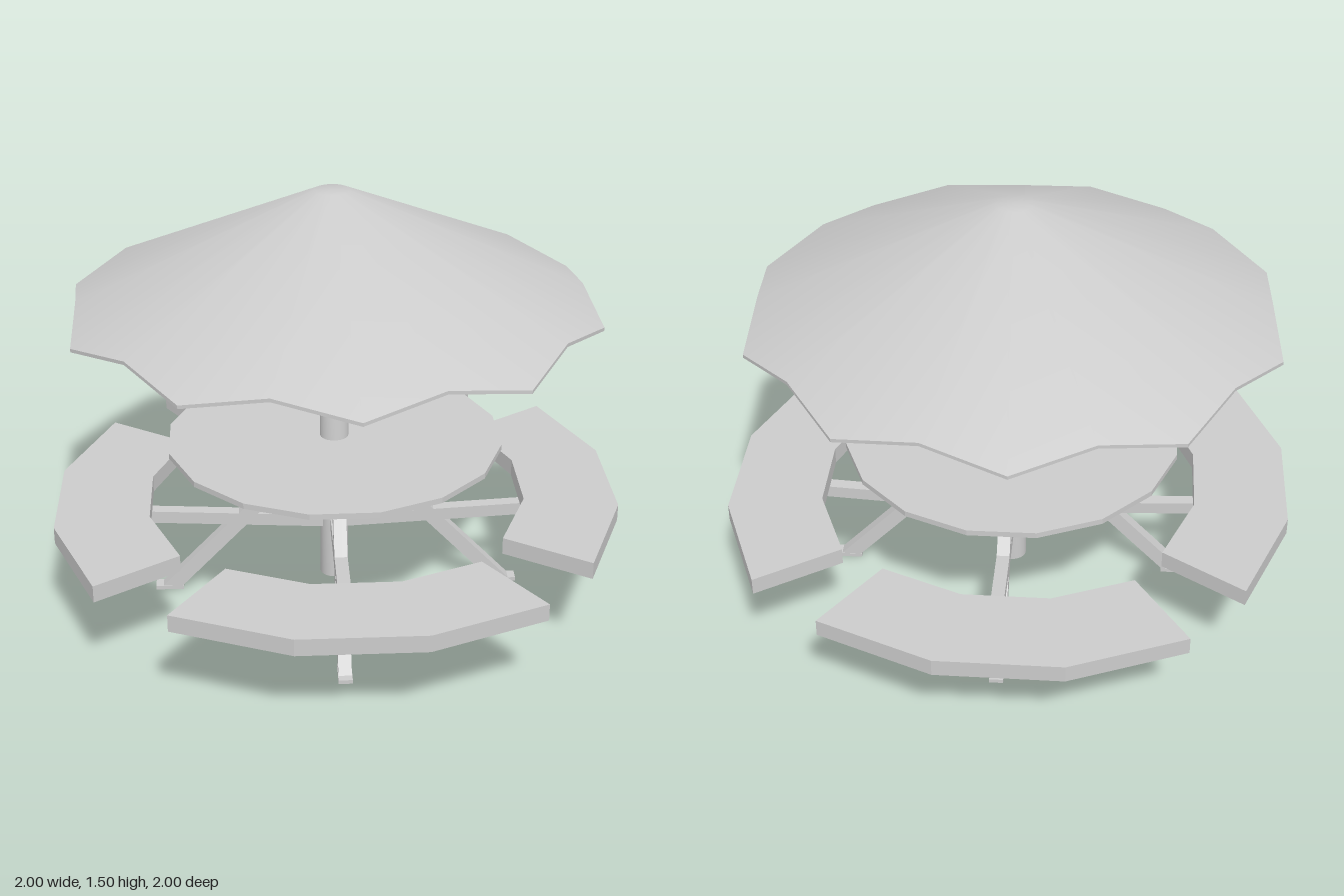
import * as THREE from 'three';
import { toCreasedNormals } from 'three/addons/utils/BufferGeometryUtils.js';

const material = new THREE.MeshStandardMaterial({ color: 0xcccccc, side: THREE.DoubleSide });

function part(parent, name, geometry) {
  const mesh = new THREE.Mesh(geometry, material);
  mesh.name = name;
  parent.add(mesh);
  return mesh;
}

function lathe(profile, segments) {
  return new THREE.LatheGeometry(profile.map(([r, y]) => new THREE.Vector2(r, y)), segments);
}

// Flat slab following a faceted arc; angles in degrees from +z towards +x
function arcSlab(rIn, rOut, angles, height) {
  const at = (r, deg) => {
    const a = THREE.MathUtils.degToRad(deg);
    return new THREE.Vector2(r * Math.sin(a), -r * Math.cos(a));
  };
  const outline = [
    ...angles.map((a) => at(rOut, a)),
    ...[...angles].reverse().map((a) => at(rIn, a)),
  ];
  const geometry = new THREE.ExtrudeGeometry(new THREE.Shape(outline), { depth: height, bevelEnabled: false });
  return geometry.rotateX(-Math.PI / 2);
}

// Cone canopy whose rim alternates between low tips and raised notches
function canopyGeometry() {
  const geometry = lathe([[0.05, 1.487], [0.92, 1.076], [0.92, 1.088], [0.06, 1.5], [0, 1.5]], 20);
  const pos = geometry.attributes.position;
  const rows = 5;
  for (let i = 0; i < pos.count; i++) {
    const column = Math.floor(i / rows), row = i % rows;
    if (column % 2 === 1 && (row === 1 || row === 2)) {
      const k = 0.865 / 0.92;
      pos.setXYZ(i, pos.getX(i) * k, pos.getY(i) + 0.047, pos.getZ(i) * k);
    }
  }
  return toCreasedNormals(geometry, 0.5);
}

// Slanted leg with level ends: an upright box sheared outwards at the bottom
function legGeometry(rTop, rBottom, yTop, yBottom) {
  const h = yTop - yBottom;
  const geometry = new THREE.BoxGeometry(0.045, h, 0.07);
  const pos = geometry.attributes.position;
  for (let i = 0; i < pos.count; i++) {
    const t = 0.5 - pos.getY(i) / h;
    pos.setZ(i, pos.getZ(i) + rTop + (rBottom - rTop) * t);
  }
  geometry.translate(0, (yTop + yBottom) / 2, 0);
  geometry.computeVertexNormals();
  return geometry;
}

export function createModel() {
  const model = new THREE.Group();
  model.name = 'umbrellaPicnicTable';

  // Canopy
  part(model, 'canopy', canopyGeometry()).position.x = -0.015;

  // Stepped pole with a hub under the canopy
  const pole = lathe([
    [0, 0.05], [0.05, 0.05], [0.05, 0.8], [0.033, 0.87], [0.033, 1.32],
    [0.05, 1.35], [0.05, 1.485], [0, 1.485],
  ], 20);
  part(model, 'pole', toCreasedNormals(pole, 0.6)).position.x = -0.008;

  // Table top
  const top = part(model, 'tableTop', toCreasedNormals(new THREE.CylinderGeometry(0.588, 0.588, 0.02, 16), 0.3));
  top.position.set(-0.008, 0.59, 0);
  top.rotation.y = Math.PI / 8;

  // Four identical quarters: bench, its batten, support arm, leg and foot
  for (let i = 0; i < 4; i++) {
    const quarter = new THREE.Group();
    quarter.name = 'quarter' + (i + 1);
    quarter.rotation.y = (i * Math.PI) / 2;
    model.add(quarter);

    const seat = part(quarter, 'bench', arcSlab(0.77, 1.1, [0, 22.2, 44.4, 66.6], 0.06));
    seat.position.set(-0.03, 0.33, -0.1);
    const batten = part(quarter, 'benchBatten', arcSlab(0.905, 0.985, [5.5, 22.2, 44.4, 61.1], 0.045));
    batten.position.set(-0.03, 0.286, -0.1);

    const spoke = new THREE.Group();
    spoke.name = 'spoke';
    spoke.rotation.y = THREE.MathUtils.degToRad(33);
    quarter.add(spoke);

    const arm = part(spoke, 'supportArm', new THREE.BoxGeometry(0.045, 0.045, 0.86));
    arm.position.set(0, 0.288, 0.44);
    arm.rotation.x = -0.05;
    part(spoke, 'leg', legGeometry(0.05, 0.595, 0.58, 0.012));
    part(spoke, 'foot', new THREE.BoxGeometry(0.048, 0.014, 0.1)).position.set(0, 0.007, 0.605);
  }
  return model;
}
